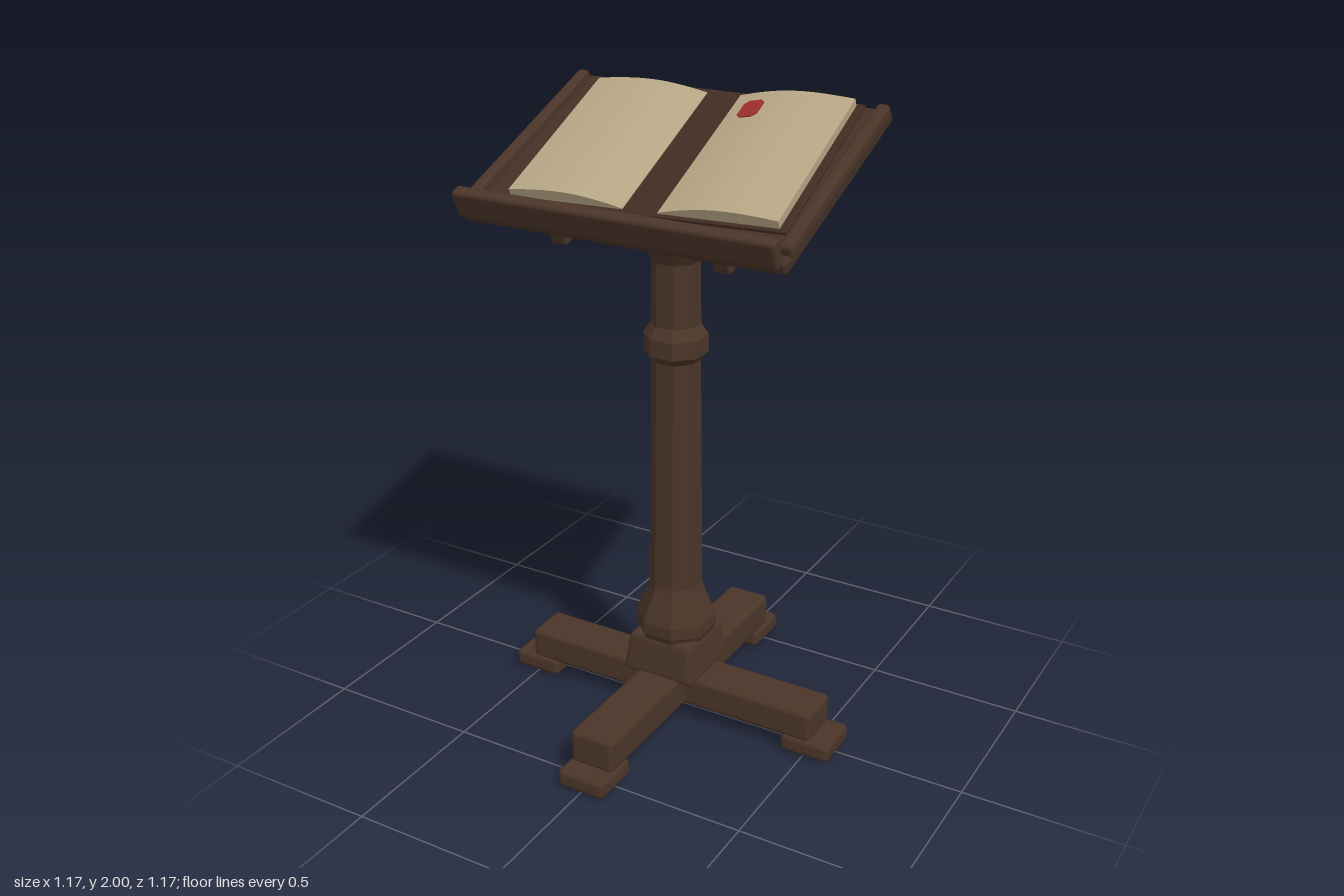
import * as THREE from 'three';
import { toCreasedNormals } from 'three/addons/utils/BufferGeometryUtils.js';
import { RoundedBoxGeometry } from 'three/addons/geometries/RoundedBoxGeometry.js';

const material = (name, color) => {
  const m = new THREE.MeshStandardMaterial({ color });
  m.name = name;
  return m;
};

export function createModel() {
  const wood = material('dark oak', 0x4a3528);
  const deskWood = material('desk oak', 0x443025);
  const leather = material('book leather', 0x422c22);
  const paper = material('parchment', 0xb5a584);
  const red = material('red ink', 0x9c2f2a);

  const model = new THREE.Group();
  model.name = 'bookStand';

  const add = (parent, name, geometry, mat) => {
    const mesh = new THREE.Mesh(geometry, mat);
    mesh.name = name;
    parent.add(mesh);
    return mesh;
  };
  // Bevelled box given by its extents on each axis
  const block = (parent, name, [x0, x1], [y0, y1], [z0, z1], mat = wood, bevel = 0.012) => {
    const g = new RoundedBoxGeometry(x1 - x0, y1 - y0, z1 - z0, 2, bevel);
    g.translate((x0 + x1) / 2, (y0 + y1) / 2, (z0 + z1) / 2);
    return add(parent, name, g, mat);
  };

  // Crossed base beams, with a foot under each end
  block(model, 'sideBeam', [-0.52, 0.52], [0.05, 0.155], [-0.075, 0.075], wood, 0.018);
  block(model, 'frontBackBeam', [-0.075, 0.075], [0.05, 0.165], [-0.52, 0.52], wood, 0.018);
  for (let i = 0; i < 4; i++) {
    const foot = block(model, 'foot', [0.42, 0.587], [0, 0.06], [-0.082, 0.082], wood, 0.018);
    foot.rotation.y = (i * Math.PI) / 2;
  }

  // Tapered square plinth
  const plinth = new RoundedBoxGeometry(0.254, 0.135, 0.254, 2, 0.018);
  const p = plinth.attributes.position;
  for (let i = 0; i < p.count; i++) {
    const s = 0.93 - p.getY(i) * 1.04;
    p.setX(i, p.getX(i) * s);
    p.setZ(i, p.getZ(i) * s);
  }
  plinth.computeVertexNormals();
  plinth.translate(0, 0.222, 0);
  add(model, 'plinth', plinth, wood);

  // Eight-sided column: half-width across flats, height
  const profile = [
    [0, 0.285], [0.112, 0.285], [0.12, 0.305], [0.12, 0.345], [0.085, 0.435], [0.078, 0.46],
    [0.07, 1.22], [0.092, 1.245], [0.092, 1.3], [0.07, 1.335],
    [0.068, 1.53], [0.113, 1.605], [0.113, 1.62], [0, 1.62],
  ].map(([r, y]) => new THREE.Vector2(r / Math.cos(Math.PI / 8), y));
  const columnGeo = new THREE.LatheGeometry(profile, 8, Math.PI / 8).toNonIndexed();
  columnGeo.computeVertexNormals();
  add(model, 'column', columnGeo, wood);

  // Cap and cross bar under the desk
  block(model, 'columnCap', [-0.113, 0.113], [1.615, 1.705], [-0.113, 0.113]);
  block(model, 'crossBar', [-0.285, 0.285], [1.642, 1.71], [-0.038, 0.038]);

  // Sloping desk: its origin is the middle of the board's underside
  const desk = new THREE.Group();
  desk.name = 'desk';
  desk.position.set(0, 1.79, -0.008);
  desk.rotation.x = THREE.MathUtils.degToRad(22.5);
  model.add(desk);
  block(desk, 'board', [-0.52, 0.52], [0, 0.042], [-0.362, 0.362], deskWood);
  block(desk, 'frontLip', [-0.512, 0.512], [0.035, 0.122], [0.345, 0.387]);
  for (const s of [-1, 1]) {
    block(desk, 'sideRail', [s * 0.505 - 0.02, s * 0.505 + 0.02], [0.03, 0.07], [-0.348, 0.325]);
    block(desk, 'batten', [s * 0.268 - 0.029, s * 0.268 + 0.029], [-0.105, -0.035], [-0.207, 0.283]);
  }

  // Open book, lying slightly askew
  const book = new THREE.Group();
  book.name = 'book';
  book.position.set(0.014, 0.04, -0.032);
  book.rotation.y = 0.05;
  desk.add(book);
  block(book, 'cover', [-0.443, 0.443], [0, 0.012], [-0.302, 0.302], leather, 0.004);
  block(book, 'spine', [-0.02, 0.02], [0.002, 0.014], [-0.306, 0.306], leather, 0.004);

  // Page surface height by distance from the spine
  const inner = 0.055, outer = 0.42;
  const curve = new THREE.SplineCurve([
    [inner, 0.015], [0.12, 0.031], [0.2, 0.044], [0.28, 0.047], [0.35, 0.043], [outer, 0.036],
  ].map(([x, y]) => new THREE.Vector2(x, y)));
  const top = curve.getPoints(20);
  const heightAt = (x) => {
    const i = Math.max(1, top.findIndex((q) => q.x >= x));
    const a = top[i - 1], b = top[i];
    return a.y + ((b.y - a.y) * (x - a.x)) / (b.x - a.x);
  };
  for (const s of [-1, 1]) {
    const shape = new THREE.Shape(
      [new THREE.Vector2(outer, 0.008), ...top.slice().reverse(), new THREE.Vector2(inner, 0.008)]
        .map((q) => new THREE.Vector2(q.x * s, q.y)));
    const g = new THREE.ExtrudeGeometry(shape, { depth: 0.58, bevelEnabled: false });
    g.translate(0, 0, -0.29);
    add(book, s < 0 ? 'rightPages' : 'leftPages', toCreasedNormals(g, 0.6), paper);
  }

  // Red painted patch following the curve of the page
  const w = 0.033, h = 0.042, c = 0.014;
  const outline = new THREE.Shape([
    [-w, -h + c], [-w + c, -h], [w - c, -h], [w, -h + c],
    [w, h - c], [w - c, h], [-w + c, h], [-w, h - c],
  ].map(([x, y]) => new THREE.Vector2(x, y)));
  const patch = new THREE.ExtrudeGeometry(outline, { depth: 0.003, bevelEnabled: false });
  patch.rotateX(-Math.PI / 2);
  patch.translate(0.129, 0, -0.2);
  const v = patch.attributes.position;
  for (let i = 0; i < v.count; i++) v.setY(i, v.getY(i) + heightAt(v.getX(i)) + 0.0005);
  patch.computeVertexNormals();
  add(book, 'redInitial', patch, red);

  return model;
}
